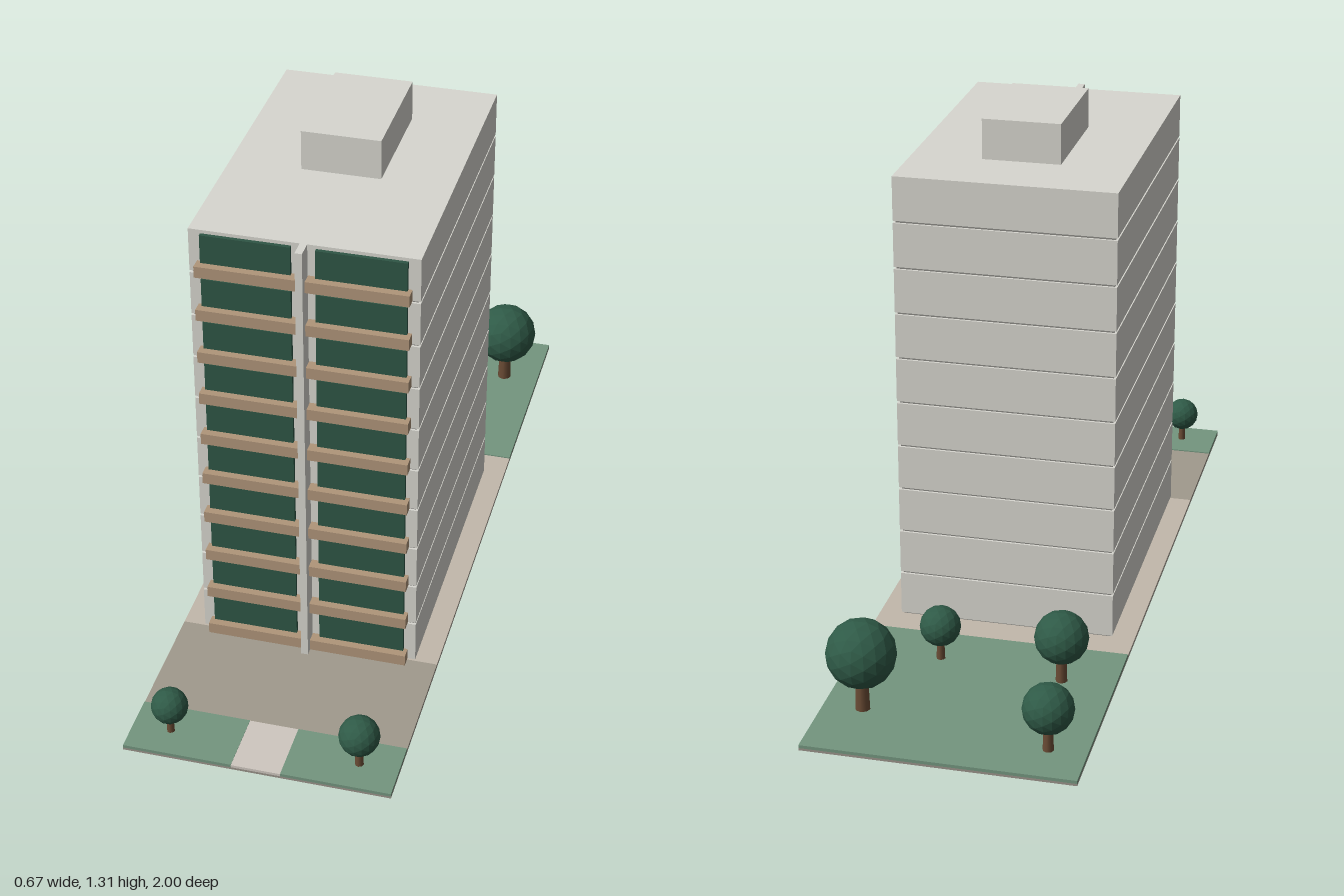
import * as THREE from 'three';

const mat = (color, flatShading = false) => new THREE.MeshStandardMaterial({ color, flatShading });

export function createModel() {
  const model = new THREE.Group();
  const wall = mat(0xd8d7d0), groove = mat(0x8c8b86), glass = mat(0x2f5645), timber = mat(0xb0967a);
  const lawn = mat(0x74967f), paving = mat(0xc2b8ab), drive = mat(0xa19a8d), path = mat(0xcfc8c0);
  const base = mat(0x99938a), bark = mat(0x6b4c35), leaf = mat(0x2f5a47, true);

  // Box given by its minimum and maximum along each axis
  const box = (name, m, [x0, x1], [y0, y1], [z0, z1], parent = model) => {
    const mesh = new THREE.Mesh(new THREE.BoxGeometry(x1 - x0, y1 - y0, z1 - z0), m);
    mesh.position.set((x0 + x1) / 2, (y0 + y1) / 2, (z0 + z1) / 2);
    mesh.name = name;
    parent.add(mesh);
    return mesh;
  };

  // Plot with its surfaces
  const W = 0.337;
  box('groundPlate', base, [-W, W], [0, 0.006], [-1, 1]);
  box('sidePaving', paving, [-W, W], [0.006, 0.011], [-0.4, 0.515]);
  box('forecourt', drive, [-W, W], [0.006, 0.011], [0.515, 0.837]);
  box('rearLawn', lawn, [-W, W], [0.006, 0.014], [-1, -0.4]);
  box('frontLawnRight', lawn, [-W, -0.062], [0.006, 0.014], [0.837, 1]);
  box('frontLawnLeft', lawn, [0.062, W], [0.006, 0.014], [0.837, 1]);
  box('frontPath', path, [-0.062, 0.062], [0.006, 0.013], [0.837, 1]);

  // Tower: a slightly inset core seen as thin grooves between the storeys
  const tower = new THREE.Group();
  tower.name = 'tower';
  model.add(tower);
  box('core', groove, [-0.274, 0.274], [0.011, 1.2], [-0.314, 0.509], tower);
  for (let i = 0; i < 10; i++) {
    const y = 0.016 + i * 0.12;
    const storey = new THREE.Group();
    storey.name = `storey${i + 1}`;
    tower.add(storey);
    box('storeyBlock', wall, [-0.28, 0.28], [y, y + 0.114], [-0.32, 0.515], storey);
    for (const s of [-1, 1]) {
      const span = (a, b) => (s > 0 ? [a, b] : [-b, -a]);
      box('window', glass, span(0.03, 0.25), [y + 0.005, y + 0.105], [0.51, 0.525], storey);
      box('balcony', timber, span(0.01, 0.26), [y, y + 0.03], [0.51, 0.545], storey);
    }
  }
  box('centralFin', wall, [-0.009, 0.009], [0.011, 1.21], [0.51, 0.56], tower);
  box('roofPlantRoom', wall, [-0.1, 0.1], [1.21, 1.314], [-0.14, 0.178], tower);

  // Trees: x, z, crown radius, crown centre height
  const trees = [
    [-0.24, 0.92, 0.046, 0.095], [0.238, 0.918, 0.051, 0.105],
    [-0.242, -0.884, 0.063, 0.126], [0.238, -0.804, 0.087, 0.166],
    [-0.202, -0.565, 0.068, 0.136], [0.118, -0.525, 0.052, 0.106],
  ];
  for (const [x, z, r, y] of trees) {
    const tree = new THREE.Group();
    tree.name = 'tree';
    tree.position.set(x, 0, z);
    const trunk = new THREE.Mesh(new THREE.CylinderGeometry(r * 0.16, r * 0.22, y - 0.01, 8), bark);
    trunk.name = 'trunk';
    trunk.position.y = (y + 0.01) / 2;
    const crown = new THREE.Mesh(new THREE.IcosahedronGeometry(r, 2), leaf);
    crown.name = 'crown';
    crown.position.y = y;
    tree.add(trunk, crown);
    model.add(tree);
  }
  return model;
}
